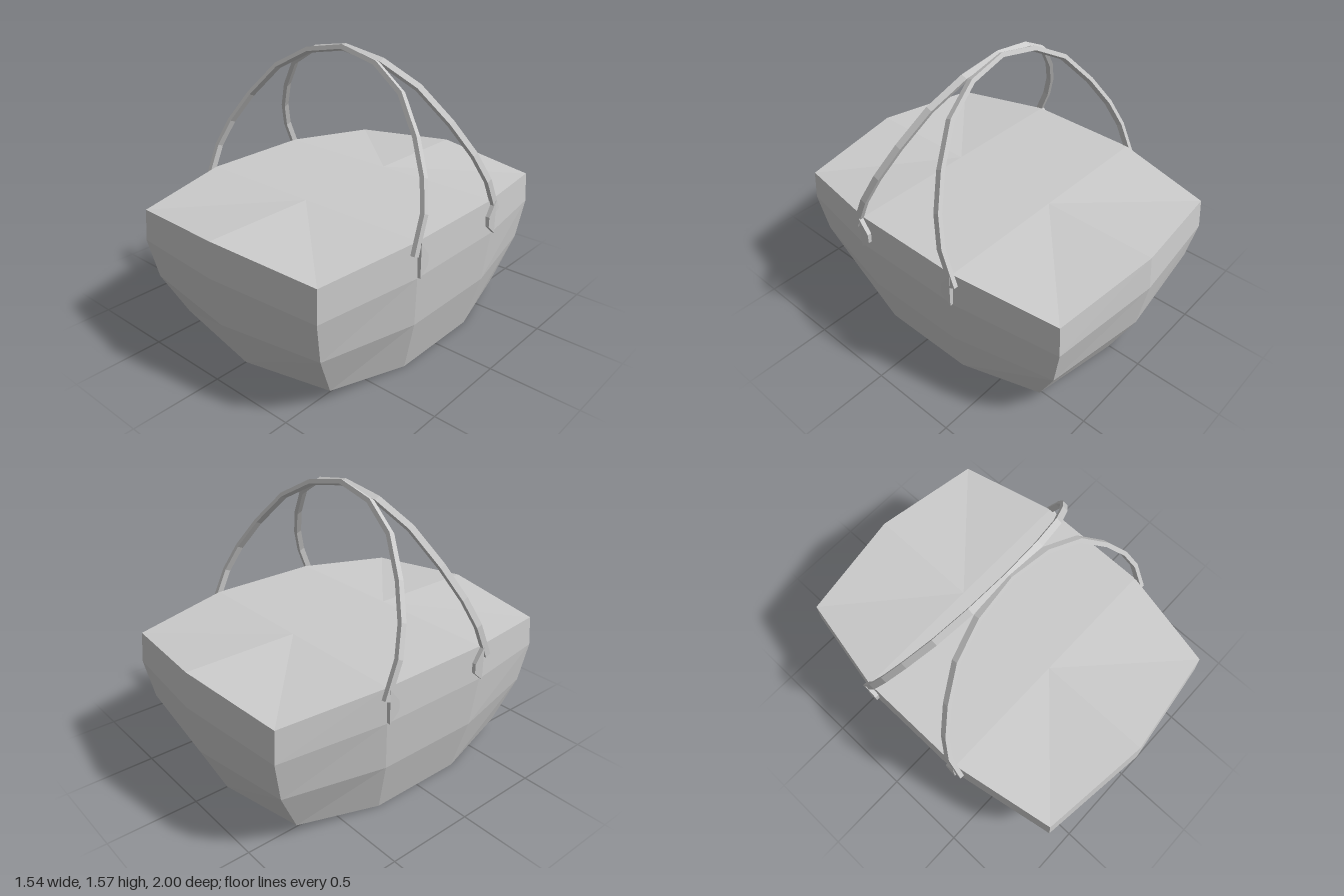
import * as THREE from 'three';

const material = new THREE.MeshStandardMaterial({ color: 0xcccccc, flatShading: true });

// One body level: [end y, end z, corner x, corner y, corner z, side x, side z]
const LEVELS = [
  [0, 0.805, 0.55, 0.06, 0.745, 0.65, 0.28],
  [0.3, 0.95, 0.612, 0.322, 0.875, 0.725, 0.31],
  [0.585, 1.0, 0.637, 0.553, 0.92, 0.75, 0.335],
  [0.78, 0.985, 0.63, 0.73, 0.907, 0.742, 0.33],
];

// Eight points round the body, starting at the front centre and going towards +x
function ring([y, ez, cx, cy, cz, sx, sz]) {
  return [
    [0, y, ez], [cx, cy, cz], [sx, y, sz], [sx, y, -sz],
    [cx, cy, -cz], [0, y, -ez], [-cx, cy, -cz], [-sx, y, -sz],
    [-sx, y, sz], [-cx, cy, cz],
  ];
}

function meshFromTriangles(name, triangles) {
  const geometry = new THREE.BufferGeometry();
  geometry.setAttribute('position', new THREE.Float32BufferAttribute(triangles.flat(2), 3));
  geometry.computeVertexNormals();
  const mesh = new THREE.Mesh(geometry, material);
  mesh.name = name;
  return mesh;
}

// Faceted walls joining the rings
function createWalls() {
  const rings = LEVELS.map(ring);
  const triangles = [];
  for (let l = 0; l < rings.length - 1; l++) {
    for (let i = 0; i < 10; i++) {
      const j = (i + 1) % 10;
      const [a, b, c, d] = [rings[l][i], rings[l][j], rings[l + 1][j], rings[l + 1][i]];
      triangles.push([a, b, c], [a, c, d]);
    }
  }
  return meshFromTriangles('basketWalls', triangles);
}

// Lid or base: flat strip across the middle, a fan at each end
function createCap(name, level, up) {
  const p = ring(level);
  const front = [0, level[0], level[6]];
  const back = [0, level[0], -level[6]];
  const triangles = [[p[2], p[3], p[7]], [p[2], p[7], p[8]]];
  for (const i of [8, 9, 0, 1]) triangles.push([front, p[i], p[(i + 1) % 10]]);
  for (const i of [3, 4, 5, 6]) triangles.push([back, p[i], p[i + 1]]);
  return meshFromTriangles(name, up ? triangles : triangles.map((t) => [...t].reverse()));
}

// Arched strap: half path as [x, y], mirrored, thickened and leaned to the middle
const ARCH = [[0.755, 0.72], [0.745, 0.91], [0.692, 1.058], [0.59, 1.222],
  [0.437, 1.398], [0.237, 1.508], [0, 1.552]];

function createHandle(name, baseZ, topZ) {
  const baseY = ARCH[0][1];
  const lean = Math.atan((topZ - baseZ) / (ARCH[6][1] - baseY));
  const half = ARCH.map(([x, y]) => new THREE.Vector2(x, (y - baseY) / Math.cos(lean)));
  const path = [...half, ...half.slice(0, -1).reverse().map((p) => new THREE.Vector2(-p.x, p.y))];
  const edge = (offset) => path.map((p, i) => {
    const t = path[Math.min(i + 1, path.length - 1)].clone().sub(path[Math.max(i - 1, 0)]).normalize();
    return new THREE.Vector2(p.x + t.y * offset, p.y - t.x * offset);
  });
  const shape = new THREE.Shape([...edge(0.0125), ...edge(-0.0125).reverse()]);
  const depth = 0.036;
  const geometry = new THREE.ExtrudeGeometry(shape, { depth, bevelEnabled: false });
  geometry.translate(0, 0, -depth / 2);
  const mesh = new THREE.Mesh(geometry, material);
  mesh.name = name;
  mesh.rotation.x = lean;
  mesh.position.set(0, baseY, baseZ);
  return mesh;
}

// Small clip plate holding a strap end against the wall
function createClip(name, sideX, sideZ) {
  const outline = [[0.335, 0.59], [0.335, 0.78], [0.275, 0.7], [0.275, 0.645]];
  const shape = new THREE.Shape(outline.map(([z, y]) => new THREE.Vector2(-z * sideZ, y)));
  const depth = 0.03;
  const geometry = new THREE.ExtrudeGeometry(shape, { depth, bevelEnabled: false });
  geometry.translate(0, 0, -depth / 2);
  geometry.rotateY(Math.PI / 2);
  const mesh = new THREE.Mesh(geometry, material);
  mesh.name = name;
  mesh.position.x = sideX * 0.753;
  return mesh;
}

export function createModel() {
  const model = new THREE.Group();
  model.name = 'basket';
  model.add(
    createWalls(),
    createCap('lid', LEVELS[3], true),
    createCap('base', LEVELS[0], false),
    createHandle('frontHandle', 0.372, 0.027),
    createHandle('backHandle', -0.352, 0.018),
  );
  for (const [xName, x] of [['left', 1], ['right', -1]]) {
    for (const [zName, z] of [['Front', 1], ['Back', -1]]) {
      model.add(createClip(`${xName}${zName}Clip`, x, z));
    }
  }
  return model;
}
